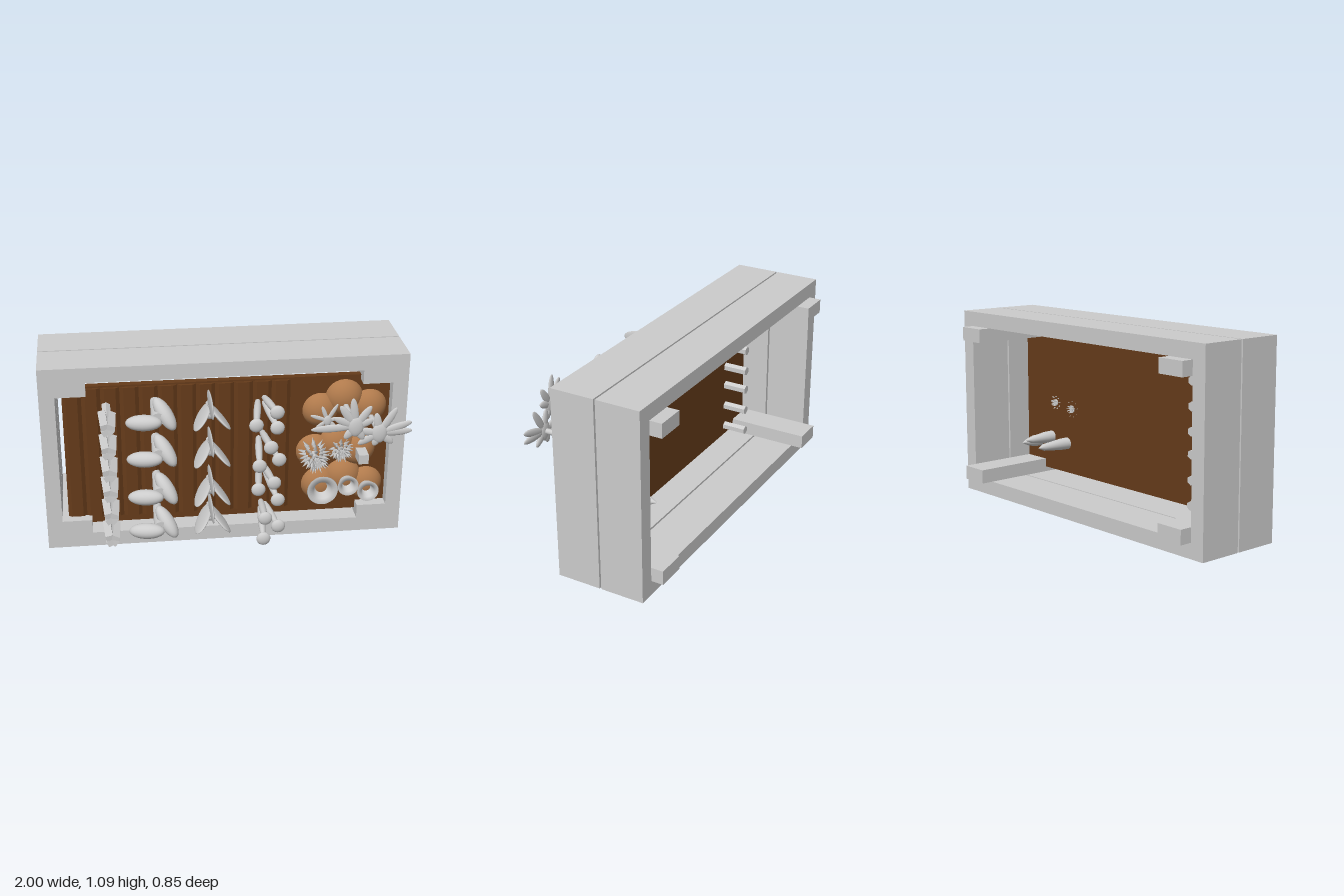
import * as THREE from 'three';

const grey = new THREE.MeshStandardMaterial({ color: 0xcccccc });
const greyOpen = new THREE.MeshStandardMaterial({ color: 0xcccccc, side: THREE.DoubleSide });
const greyFlat = new THREE.MeshStandardMaterial({ color: 0xcccccc, flatShading: true });
const soilMat = new THREE.MeshStandardMaterial({ color: 0x653b1a });
const moundMat = new THREE.MeshStandardMaterial({ color: 0xb07a4c });
const UP = new THREE.Vector3(0, 1, 0);
const V = (x, y, z) => new THREE.Vector3(x, y, z);

function add(parent, name, geometry, material = grey, x = 0, y = 0, z = 0) {
  const mesh = new THREE.Mesh(geometry, material);
  mesh.name = name;
  mesh.position.set(x, y, z);
  parent.add(mesh);
  return mesh;
}

// box given by its limits
function slab(parent, name, x0, x1, y0, y1, z0, z1, material = grey) {
  return add(parent, name, new THREE.BoxGeometry(x1 - x0, y1 - y0, z1 - z0), material,
    (x0 + x1) / 2, (y0 + y1) / 2, (z0 + z1) / 2);
}

// place a mesh modelled along y so that it runs from a to b
function span(mesh, a, b) {
  mesh.position.copy(a).lerp(b, 0.5);
  mesh.quaternion.setFromUnitVectors(UP, b.clone().sub(a).normalize());
  return mesh;
}

// tapered rod from a to b
function rod(parent, name, a, b, ra, rb, sides = 12, material = grey) {
  return span(add(parent, name, new THREE.CylinderGeometry(rb, ra, a.distanceTo(b), sides), material), a, b);
}

// ellipsoid stretched from a to b, with half widths rx and rz
function lobe(parent, name, a, b, rx, rz = rx) {
  const mesh = add(parent, name, new THREE.SphereGeometry(1, 20, 14));
  mesh.scale.set(rx, a.distanceTo(b) / 2, rz);
  return span(mesh, a, b);
}

function group(parent, name, x, y) {
  const g = new THREE.Group();
  g.name = name;
  g.position.set(x, y, 0);
  parent.add(g);
  return g;
}

// two stacked board frames and four corner posts
function buildFrame(root) {
  for (const z of [-0.355, -0.095]) {
    slab(root, 'lowerBoard', -1, 1, 0, 0.085, z, z + 0.25);
    slab(root, 'upperBoard', -1, 1, 1, 1.085, z, z + 0.25);
    slab(root, 'rightBoard', -1, -0.915, 0.085, 1, z, z + 0.25);
    slab(root, 'leftBoard', 0.915, 1, 0.085, 1, z, z + 0.25);
  }
  for (const x of [-0.915, 0.75]) for (const y of [0.085, 0.92])
    slab(root, 'cornerPost', x, x + 0.165, y, y + 0.08, -0.425, 0.155);
}

// soil sheet with furrows and round mounds
function buildSoil(root) {
  slab(root, 'soil', -0.88, 0.915, 0.115, 0.95, 0.05, 0.09, soilMat);
  const profile = new THREE.Shape();
  const n = 12, w = 1.24 / n;
  profile.moveTo(-0.88, -0.08);
  for (let i = 0; i < n; i++) {
    const x = -0.88 + i * w;
    profile.lineTo(x, -0.092);
    profile.lineTo(x + w * 0.2, -0.105);
    profile.lineTo(x + w * 0.8, -0.105);
  }
  profile.lineTo(0.36, -0.092);
  profile.lineTo(0.36, -0.08);
  const ridges = new THREE.ExtrudeGeometry(profile, { depth: 0.785, bevelEnabled: false });
  ridges.rotateX(-Math.PI / 2);
  add(root, 'furrows', ridges, soilMat, 0, 0.155, 0);

  const mounds = [[0.53, 0.75, 0.105], [0.66, 0.82, 0.11], [0.8, 0.76, 0.105],
    [0.5, 0.5, 0.105], [0.63, 0.54, 0.11], [0.75, 0.5, 0.105],
    [0.54, 0.29, 0.11], [0.67, 0.33, 0.11], [0.8, 0.28, 0.105]];
  for (const [x, y, r] of mounds) {
    const dome = new THREE.SphereGeometry(r, 28, 12, 0, Math.PI * 2, 0, Math.PI / 2);
    dome.rotateX(Math.PI / 2).scale(1, 1, 0.8);
    add(root, 'mound', dome, moundMat, x, y, 0.065);
  }
}

// angular stalk with a bundle of blocky heads
function stalkBundle(root, x, y) {
  const g = group(root, 'stalkBundle', x, y);
  rod(g, 'stalk', V(0, 0, -0.09), V(0, 0, 0.25), 0.026, 0.026, 6, greyFlat);
  [[-0.02, 0.02, 0.2], [0.02, 0.014, -0.4], [-0.012, -0.02, 0.5], [0.018, -0.016, 0.9]].forEach(([dx, dy, a]) => {
    add(g, 'head', new THREE.BoxGeometry(0.04, 0.032, 0.16), grey, dx, dy, 0.318).rotation.set(dy * 3, -dx * 3, a);
  });
}

// stem with two fat leaves
function fatLeafPlant(root, x, y) {
  const g = group(root, 'fatLeafPlant', x, y);
  rod(g, 'stem', V(0.01, 0, 0.06), V(0.015, 0, 0.34), 0.022, 0.036);
  lobe(g, 'rightLeaf', V(0.035, -0.01, 0.36), V(-0.155, -0.025, 0.31), 0.044);
  lobe(g, 'leftLeaf', V(0.005, 0.085, 0.25), V(0.1, -0.06, 0.35), 0.047, 0.042);
}

// two spread leaves, one upright leaf and a central bud
function spreadLeafPlant(root, x, y) {
  const g = group(root, 'spreadLeafPlant', x, y);
  for (const s of [-1, 1]) {
    const leaf = lobe(g, 'sideLeaf', V(s * 0.012, -0.005, 0.11), V(s * 0.075, -0.015, 0.4), 0.015, 0.064);
    // leaf face turned outward and down
    const dir = V(s * 0.063, -0.01, 0.29).normalize();
    const side = V(s * 0.72, 0.69, 0).cross(dir).normalize();
    const face = V(0, 0, 0).crossVectors(side, dir).normalize();
    leaf.quaternion.setFromRotationMatrix(new THREE.Matrix4().makeBasis(side, dir, face));
    leaf.scale.set(0.064, 0.148, 0.014);
  }
  lobe(g, 'uprightLeaf', V(0, 0.055, 0.1), V(0, 0.065, 0.42), 0.009, 0.056);
  rod(g, 'stem', V(0, 0, 0.06), V(0, 0, 0.25), 0.012, 0.012);
  add(g, 'bud', new THREE.SphereGeometry(0.032, 18, 12), grey, 0, 0, 0.24);
}

// three splayed spindle stems with round caps
function capCluster(root, x, y, caps) {
  const g = group(root, 'capCluster', x, y);
  for (const [cx, cy] of caps) {
    const tip = V(cx - x, cy - y, 0.375);
    lobe(g, 'capStem', V(tip.x * 0.2, tip.y * 0.2, 0.055), tip, 0.02);
    add(g, 'cap', new THREE.SphereGeometry(0.039, 20, 14), grey, tip.x, tip.y, tip.z).scale.z = 0.52;
  }
}

// tall flower with narrow petals, given by angle in degrees and length
function flower(root, x, y, z, size, petals) {
  const g = group(root, 'flower', x, y);
  rod(g, 'flowerStem', V(0, 0, 0.06), V(0, 0, z), size * 0.09, size * 0.09);
  for (const [deg, len] of petals) {
    const a = deg * Math.PI / 180;
    lobe(g, 'petal', V(0, 0, z), V(Math.cos(a) * len, Math.sin(a) * len, z), size * 0.13, size * 0.06);
  }
  add(g, 'flowerCentre', new THREE.SphereGeometry(1, 16, 12), grey, 0, 0, z + 0.002)
    .scale.set(size * 0.25, size * 0.34, size * 0.1);
}

// plant made of arched fronds with saw teeth
function spikyPlant(root, x, y, radius, top) {
  const g = group(root, 'spikyPlant', x, y);
  const mid = (top + 0.02) / 2, h = (top - 0.02) / 2;
  rod(g, 'spikyCore', V(0, 0, 0.04), V(0, 0, top - 0.03), 0.016, 0.012, 8);
  for (let i = 0; i < 9; i++) {
    const a = i / 9 * Math.PI * 2 + 0.2;
    for (let j = 0; j < 9; j++) {
      const t = 0.25 + j / 8 * 2.65;
      const at = (k) => V(Math.cos(a) * Math.sin(t) * radius * k, Math.sin(a) * Math.sin(t) * radius * k,
        mid + Math.cos(t) * h * k);
      rod(g, 'tooth', at(0.55), at(1), 0.012, 0.001, 4);
    }
  }
}

// funnel head with a hollow front and a long pointed root
function funnel(root, x, y, r, tip) {
  const pts = [[0, tip], [0.02, tip + 0.04], [0.034, 0], [0.036, 0.09], [r * 0.65, 0.14], [r, 0.195],
    [r * 0.97, 0.2], [r * 0.6, 0.195], [r * 0.35, 0.14], [0, 0.12]].map(([a, b]) => new THREE.Vector2(a, b));
  add(root, 'funnel', new THREE.LatheGeometry(pts, 32).rotateX(Math.PI / 2), greyOpen, x, y, 0);
}

export function createModel() {
  const root = new THREE.Group();
  root.name = 'plantedBed';
  buildFrame(root);
  buildSoil(root);

  for (const y of [0.835, 0.7, 0.567, 0.445, 0.307, 0.17]) stalkBundle(root, -0.645, y);
  for (const y of [0.855, 0.64, 0.41, 0.2]) fatLeafPlant(root, -0.395, y);
  for (const y of [0.83, 0.61, 0.375, 0.205]) spreadLeafPlant(root, -0.095, y);
  capCluster(root, 0.2, 0.83, [[0.135, 0.81], [0.245, 0.88], [0.247, 0.79]]);
  capCluster(root, 0.2, 0.62, [[0.215, 0.675], [0.26, 0.6], [0.155, 0.567]]);
  capCluster(root, 0.21, 0.41, [[0.235, 0.46], [0.15, 0.425], [0.257, 0.355]]);
  capCluster(root, 0.21, 0.18, [[0.19, 0.243], [0.262, 0.19], [0.182, 0.115]]);

  flower(root, 0.66, 0.79, 0.405, 0.17,
    [[97, 0.165], [55, 0.14], [125, 0.15], [155, 0.13], [182, 0.24], [20, 0.1], [230, 0.09], [300, 0.09]]);
  flower(root, 0.805, 0.715, 0.345, 0.17,
    [[18, 0.185], [2, 0.18], [58, 0.17], [100, 0.12], [170, 0.13], [208, 0.13], [250, 0.08], [320, 0.1]]);
  flower(root, 0.54, 0.755, 0.245, 0.09,
    [[10, 0.07], [60, 0.11], [110, 0.09], [160, 0.1], [215, 0.08], [270, 0.05], [320, 0.06]]);

  spikyPlant(root, 0.49, 0.51, 0.09, 0.32);
  spikyPlant(root, 0.64, 0.53, 0.075, 0.25);
  slab(root, 'marker', 0.728, 0.783, 0.473, 0.528, 0.1, 0.24);
  funnel(root, 0.54, 0.295, 0.088, -0.17);
  funnel(root, 0.685, 0.315, 0.06, -0.15);
  funnel(root, 0.8, 0.275, 0.062, -0.09);
  return root;
}
